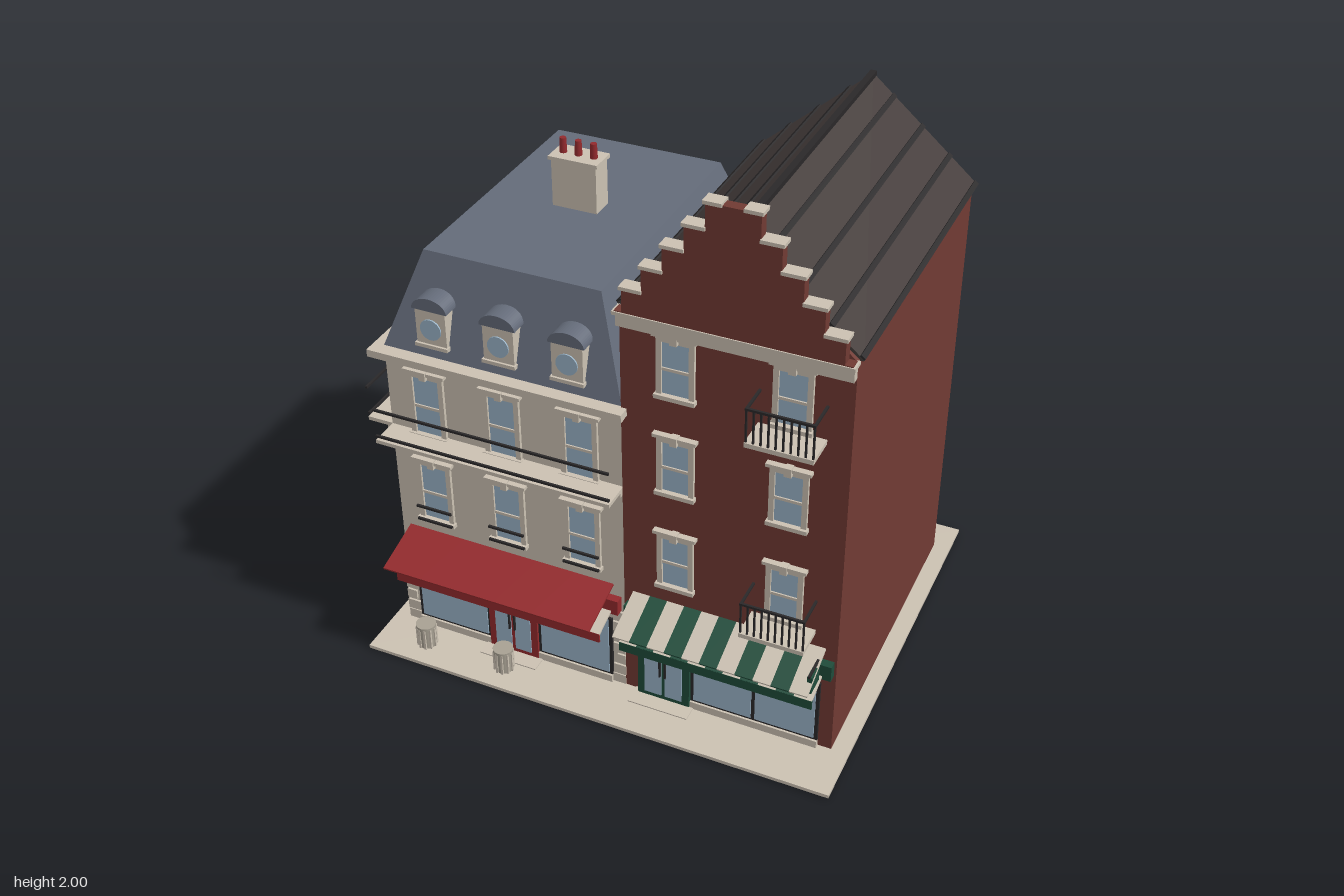
import * as THREE from 'three';

const mat = (name, color) => {
  const m = new THREE.MeshStandardMaterial({ color });
  m.name = name;
  return m;
};
const cream = mat('cream stone', 0xcbc1b2);
const brick = mat('red brick', 0x713a33);
const slate = mat('blue slate', 0x646b79);
const tile = mat('dark roof tile', 0x443c3a);
const glass = mat('window glass', 0x9ab4c8);
const red = mat('shop red', 0x932a2d);
const green = mat('shop green', 0x1f4b3a);
const iron = mat('black iron', 0x2a2829);
const binGrey = mat('bin grey', 0xa8a193);

function add(parent, name, geo, material, x = 0, y = 0, z = 0) {
  const m = new THREE.Mesh(geo, material);
  m.name = name;
  m.position.set(x, y, z);
  parent.add(m);
  return m;
}

// Box given by its limits on each axis
function box(parent, name, material, x0, x1, y0, y1, z0, z1) {
  return add(parent, name, new THREE.BoxGeometry(x1 - x0, y1 - y0, z1 - z0), material,
    (x0 + x1) / 2, (y0 + y1) / 2, (z0 + z1) / 2);
}

function group(parent, name, x = 0, y = 0, z = 0, ry = 0) {
  const g = new THREE.Group();
  g.name = name;
  g.position.set(x, y, z);
  g.rotation.y = ry;
  parent.add(g);
  return g;
}

function extrude(points, depth) {
  const s = new THREE.Shape(points.map(p => new THREE.Vector2(p[0], p[1])));
  return new THREE.ExtrudeGeometry(s, { depth, bevelEnabled: false });
}

// Thin plate sloping down from (yA, zA) at the wall to (yB, zB)
function slope(parent, name, material, x0, x1, yA, zA, yB, zB) {
  const len = Math.hypot(yA - yB, zB - zA);
  const m = add(parent, name, new THREE.BoxGeometry(x1 - x0, 0.008, len), material,
    (x0 + x1) / 2, (yA + yB) / 2, (zA + zB) / 2);
  m.rotation.x = Math.atan2(yA - yB, zB - zA);
}

// Sash window on a wall facing local +z
function sashWindow(wall, u, y0, y1, { w = 0.13, cap = true, rails = false } = {}) {
  const g = group(wall, 'window', u, 0, 0), h = w / 2, mid = (y0 + y1) / 2 - 0.01;
  box(g, 'pane', glass, -h + 0.01, h - 0.01, y0, y1, 0, 0.004);
  for (const s of [-1, 1]) {
    const c = s * (h - 0.008);
    box(g, 'jamb', cream, c - 0.009, c + 0.009, y0, y1, 0, 0.012);
  }
  box(g, 'lintel', cream, -h, h, y1 - 0.015, y1 + 0.008, 0, 0.012);
  box(g, 'sashBar', cream, -h, h, mid - 0.005, mid + 0.005, 0, 0.009);
  box(g, 'sill', cream, -h - 0.006, h + 0.006, y0 - 0.012, y0 + 0.003, 0, 0.022);
  if (cap) {
    box(g, 'cap', cream, -h - 0.012, h + 0.012, y1 + 0.004, y1 + 0.016, 0, 0.022);
    box(g, 'keystone', cream, -0.012, 0.012, y1 - 0.012, y1 + 0.02, 0, 0.027);
  }
  if (rails) for (const y of [0.515, 0.57])
    box(g, 'guardRail', iron, -h - 0.002, h + 0.002, y - 0.004, y + 0.004, 0.022, 0.03);
}

// Dormer with a round window and a curved slate hood
function dormer(parent, x, z, ry) {
  const g = group(parent, 'dormer', x, 0, z, ry);
  box(g, 'dormerBody', cream, -0.055, 0.055, 1.235, 1.375, -0.06, 0);
  box(g, 'dormerSill', cream, -0.06, 0.06, 1.225, 1.238, -0.04, 0.008);
  const disc = add(g, 'roundWindow', new THREE.CylinderGeometry(0.038, 0.038, 0.006, 24), glass, 0, 1.295, 0.002);
  disc.rotation.x = Math.PI / 2;
  const arch = new THREE.Shape();
  arch.absellipse(0, 0, 0.064, 0.046, 0, Math.PI, false, 0);
  add(g, 'dormerHood', new THREE.ExtrudeGeometry(arch, { depth: 0.09, bevelEnabled: false, curveSegments: 12 }),
    slate, 0, 1.365, -0.085);
}

// Shopfront: window panels, door, signboard and two awnings
function shop(parent, name, color, z, x0, x1, doorX, panes, signX, stripedTop, tipY) {
  const g = group(parent, name, 0, 0, z);
  for (const [a, b] of panes) {
    box(g, 'shopFrame', iron, a, b, 0.045, 0.3, 0, 0.01);
    box(g, 'shopPane', glass, a + 0.012, b - 0.012, 0.057, 0.295, 0.01, 0.014);
    box(g, 'stallRiser', cream, a, b, 0.018, 0.047, 0, 0.018);
  }
  const d = group(g, 'shopDoor', doorX, 0, 0);
  box(d, 'doorFrame', color, -0.095, 0.095, 0.018, 0.335, 0, 0.02);
  for (const s of [-1, 1]) {
    box(d, 'doorPane', glass, s * 0.038 - 0.031, s * 0.038 + 0.031, 0.04, 0.3, 0.02, 0.024);
    box(d, 'doorHandle', iron, s * 0.01 - 0.003, s * 0.01 + 0.003, 0.13, 0.2, 0.024, 0.032);
  }
  box(d, 'doorStep', cream, -0.11, 0.11, 0, 0.022, 0, 0.075);
  box(g, 'signboard', color, signX[0], signX[1], 0.345, 0.405, 0, 0.03);
  const n = 11, w = (x1 - x0) / n;
  for (let i = 0; i < n; i++) {
    const a = x0 + i * w, c = i % 2 ? color : cream;
    slope(g, 'awningStripe', stripedTop ? c : color, a, a + w, 0.455, 0.005, tipY, stripedTop ? 0.17 : 0.195);
    slope(g, 'lowerAwningStripe', c, a, a + w, 0.36, 0.015, 0.325, 0.12);
  }
  box(g, 'awningLip', color, x0, x1, 0.292, 0.328, 0.115, 0.122);
}

// Iron railing balcony facing +z
function balcony(parent, x, y, z) {
  const g = group(parent, 'balcony', x, y, z);
  box(g, 'balconySlab', cream, -0.11, 0.11, 0, 0.016, 0, 0.115);
  for (const s of [-1, 1]) {
    box(g, 'sideRail', iron, s * 0.106 - 0.004, s * 0.106 + 0.004, 0.13, 0.138, 0, 0.112);
    box(g, 'bracket', cream, s * 0.08 - 0.01, s * 0.08 + 0.01, -0.02, 0, 0, 0.03);
  }
  box(g, 'topRail', iron, -0.11, 0.11, 0.13, 0.138, 0.104, 0.112);
  for (let i = 0; i < 10; i++) {
    const u = -0.106 + i * 0.212 / 9;
    box(g, 'baluster', iron, u - 0.003, u + 0.003, 0.014, 0.132, 0.105, 0.111);
  }
}

function creamHouse(root) {
  const g = group(root, 'creamHouse');
  box(g, 'walls', cream, -0.79, 0.07, 0.015, 1.185, -0.62, 0.54);
  box(g, 'plinth', cream, -0.797, 0.07, 0.015, 0.055, -0.627, 0.547);
  box(g, 'corniceLower', cream, -0.81, 0.08, 1.145, 1.165, -0.635, 0.565);
  box(g, 'corniceUpper', cream, -0.828, 0.09, 1.163, 1.19, -0.645, 0.588);
  // Mansard roof: a box drawn in at the top
  const geo = new THREE.BoxGeometry(0.86, 0.33, 1.16), p = geo.attributes.position;
  for (let i = 0; i < p.count; i++)
    if (p.getY(i) > 0) p.setXYZ(i, p.getX(i) * 0.735, 0.165, p.getZ(i) * 0.815);
  geo.computeVertexNormals();
  add(g, 'mansardRoof', geo, slate, -0.36, 1.355, -0.04);
  box(g, 'chimney', cream, -0.435, -0.272, 1.51, 1.69, -0.085, 0);
  box(g, 'chimneyCap', cream, -0.443, -0.264, 1.69, 1.703, -0.092, 0.007);
  for (const x of [-0.41, -0.354, -0.298])
    add(g, 'chimneyPot', new THREE.CylinderGeometry(0.011, 0.013, 0.055, 12), red, x, 1.728, -0.042);
  for (const x of [-0.605, -0.36, -0.117]) {
    dormer(g, x, 0.538, 0);
    dormer(g, x, -0.618, Math.PI);
  }
  // Windows on the three open walls
  const front = group(g, 'frontWall', 0, 0, 0.54);
  const left = group(g, 'sideWall', -0.79, 0, 0, -Math.PI / 2);
  const back = group(g, 'backWall', 0, 0, -0.62, Math.PI);
  const rows = [[front, [-0.64, -0.36, -0.08]], [left, [-0.46, -0.18, 0.105, 0.39]]];
  for (const [wall, us] of rows) for (const u of us) {
    sashWindow(wall, u, 0.515, 0.755, { rails: true });
    sashWindow(wall, u, 0.875, 1.115);
  }
  for (const u of [0.145, 0.575]) for (const y of [0.53, 0.915]) sashWindow(back, u, y, y + 0.215, { w: 0.125, cap: false });
  for (const u of [-0.46, 0.39]) sashWindow(left, u, 0.12, 0.34, { w: 0.125, cap: false });
  // Side door and canopy
  box(left, 'sideDoorFrame', cream, -0.105, 0.045, 0.015, 0.33, 0, 0.01);
  box(left, 'sideDoor', iron, -0.09, 0.03, 0.02, 0.31, 0.01, 0.014);
  box(left, 'sideStep', cream, -0.11, 0.05, 0, 0.025, 0, 0.04);
  box(left, 'canopy', cream, -0.14, 0.08, 0.373, 0.388, 0, 0.09);
  // Long balcony ledge and rails round the front and side
  const ledges = [[front, -0.79, 0.07, 0.105], [left, -0.62, 0.54, 0.095]];
  for (const [wall, a, b, d] of ledges) {
    box(wall, 'ledge', cream, a, b, 0.862, 0.876, 0, d);
    box(wall, 'ledgeMoulding', cream, a, b, 0.845, 0.862, 0, 0.02);
    for (const y of [0.89, 0.995]) box(wall, 'longRail', iron, a, b, y - 0.004, y + 0.004, d - 0.008, d);
  }
  // Corner quoins
  for (let i = 0; i < 6; i++) {
    const w = i % 2 ? 0.03 : 0.045, y = 0.06 + i * 0.048;
    box(g, 'quoin', cream, -0.798, -0.79 + w, y, y + 0.04, 0.54 - w, 0.548);
    box(g, 'quoin', cream, 0.07 - w, 0.071, y, y + 0.04, 0.5, 0.548);
  }
  shop(g, 'redShop', red, 0.54, -0.755, 0.03, -0.36, [[-0.745, -0.455], [-0.265, 0.022]], [-0.775, 0.055], false, 0.4);
}

function brickHouse(root) {
  const g = group(root, 'brickHouse'), cx = 0.4465;
  add(g, 'walls', extrude([[-0.3765, 0.015], [0.3765, 0.015], [0.3765, 1.56], [0, 1.875], [-0.3765, 1.56]], 1.165),
    brick, cx, 0, -0.62);
  // Pitched roof with raised seams
  add(g, 'pitchedRoof', extrude([[-0.39, 1.56], [-0.365, 1.555], [0, 1.872], [0.365, 1.555], [0.39, 1.56], [0, 1.895]], 1.17),
    tile, cx, 0, -0.64);
  for (const s of [-1, 1]) for (const t of [0.02, 0.27, 0.53, 0.8]) {
    const seam = add(g, 'roofSeam', new THREE.BoxGeometry(0.018, 0.012, 1.17), iron,
      cx + s * 0.39 * (1 - t), 1.56 + 0.335 * t, -0.055);
    seam.rotation.z = -s * Math.atan2(0.335, 0.39);
  }
  box(g, 'ridge', iron, cx - 0.011, cx + 0.011, 1.886, 1.904, -0.642, 0.53);
  // Stepped gable with stone copings
  const half = [0.35, 0.285, 0.218, 0.15, 0.085], pts = [[0.375, 1.555], [0.375, 1.567]];
  half.forEach((h, i) => pts.push([h, i ? 1.562 + 0.086 * i : 1.567], [h, 1.648 + 0.086 * i]));
  const mirrored = pts.map(q => [-q[0], q[1]]).reverse();
  add(g, 'steppedGable', extrude([...pts, ...mirrored], 0.037), brick, cx, 0, 0.547);
  half.forEach((h, i) => {
    const y = 1.644 + 0.086 * i, inner = i < 4 ? half[i + 1] : 0.035;
    for (const s of [-1, 1]) {
      const a = cx + s * (h + 0.007), b = cx + s * (inner - 0.002);
      box(g, 'coping', cream, Math.min(a, b), Math.max(a, b), y, y + 0.012, 0.541, 0.59);
    }
  });
  box(g, 'corniceBand', cream, 0.07, 0.823, 1.505, 1.562, 0.545, 0.572);
  box(g, 'corniceTop', cream, 0.064, 0.829, 1.552, 1.564, 0.54, 0.588);
  const front = group(g, 'frontWall', 0, 0, 0.545);
  for (const u of [0.258, 0.635]) for (const y of [0.532, 0.915, 1.285]) sashWindow(front, u, y, y + 0.207, { w: 0.125 });
  for (const y of [0.502, 1.25]) balcony(g, 0.635, y, 0.545);
  shop(g, 'greenShop', green, 0.545, 0.105, 0.785, 0.22, [[0.317, 0.55], [0.54, 0.775]], [0.08, 0.815], true, 0.39);
  // Hanging sign
  box(g, 'signArm', iron, 0.771, 0.779, 0.435, 0.443, 0.545, 0.68);
  box(g, 'hangingSign', green, 0.767, 0.783, 0.365, 0.432, 0.6, 0.672);
}

export function createModel() {
  const root = new THREE.Group();
  root.name = 'townHouses';
  box(root, 'pavement', cream, -0.85, 0.885, 0.005, 0.018, -0.745, 0.742);
  creamHouse(root);
  brickHouse(root);
  // Litter bins
  for (const x of [-0.665, -0.355]) {
    const b = group(root, 'litterBin', x, 0.018, 0.648);
    add(b, 'binBody', new THREE.CylinderGeometry(0.033, 0.031, 0.088, 16), binGrey, 0, 0.044, 0);
    add(b, 'binRim', new THREE.CylinderGeometry(0.036, 0.036, 0.01, 16), binGrey, 0, 0.09, 0);
    for (let i = 0; i < 10; i++) {
      const a = i * Math.PI / 5;
      add(b, 'binSlat', new THREE.BoxGeometry(0.008, 0.085, 0.008), cream, 0.032 * Math.cos(a), 0.043, 0.032 * Math.sin(a));
    }
  }
  return root;
}
